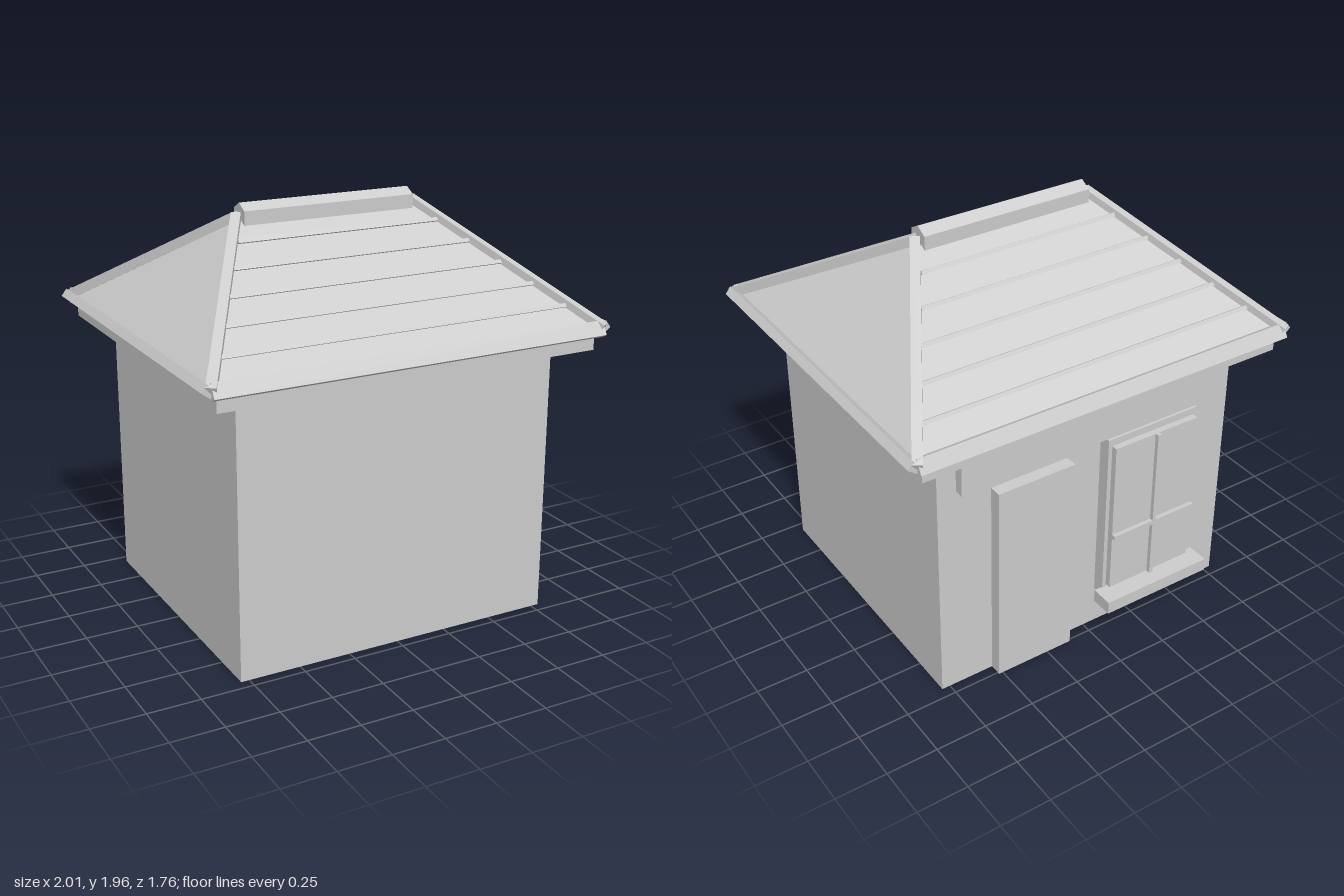
import * as THREE from 'three';

export function createModel() {
  const model = new THREE.Group();
  model.name = 'hut';
  const gray = new THREE.MeshStandardMaterial({ name: 'light gray', color: 0xcccccc });
  gray.flatShading = true;

  function add(name, geometry, parent = model) {
    const mesh = new THREE.Mesh(geometry, gray);
    mesh.name = name;
    parent.add(mesh);
    return mesh;
  }
  // Box given by its minimum and maximum on each axis
  function box(name, x0, x1, y0, y1, z0, z1, parent) {
    const mesh = add(name, new THREE.BoxGeometry(x1 - x0, y1 - y0, z1 - z0), parent);
    mesh.position.set((x0 + x1) / 2, (y0 + y1) / 2, (z0 + z1) / 2);
    return mesh;
  }
  // Long bar along x, tilted about its length
  function bar(name, length, height, depth, y, z, tilt, parent) {
    const mesh = add(name, new THREE.BoxGeometry(length, height, depth), parent);
    mesh.position.set(0, y, z);
    mesh.rotation.x = -tilt;
    return mesh;
  }

  // Walls and eave slab
  box('walls', -0.79, 0.79, 0, 1.3, -0.7, 0.7);
  box('eaveSlab', -0.93, 0.93, 1.3, 1.37, -0.83, 0.83);

  // Hipped roof: a box whose top is drawn up into a ridge
  const roof = new THREE.BoxGeometry(1.9, 1, 1.7, 1, 2, 1);
  const p = roof.attributes.position;
  for (let i = 0; i < p.count; i++) {
    const level = Math.round(p.getY(i) * 2) + 1; // 0 base, 1 eave, 2 ridge
    p.setY(i, [1.37, 1.4, 1.89][level]);
    if (level === 2) {
      p.setX(i, Math.sign(p.getX(i)) * 0.45);
      p.setZ(i, 0);
    }
  }
  roof.computeVertexNormals();
  add('roof', roof);

  // Eave trim and battens on the two long slopes, trim on the two hip ends
  for (let side = 0; side < 4; side++) {
    const slope = new THREE.Group();
    slope.name = side % 2 ? 'hipEnd' : 'longSlope';
    slope.rotation.y = side * Math.PI / 2;
    model.add(slope);
    if (side % 2) {
      bar('eaveTrim', 1.7, 0.042, 0.05, 1.404, 0.97, 0.65, slope);
    } else {
      bar('eaveTrim', 1.92, 0.07, 0.037, 1.4, 0.847, 0.5, slope);
      for (let i = 0; i < 5; i++) {
        const z = 0.147 + i * 0.14;
        bar('batten', 2 * (0.42 + 0.62 * z), 0.018, 0.018, 1.9 - 0.582 * z, z, 0.52, slope);
      }
    }
  }

  // Hip beams from the ridge ends to the four corners
  for (const sx of [-1, 1]) for (const sz of [-1, 1]) {
    const a = new THREE.Vector3(sx * 0.45, 1.895, 0);
    const b = new THREE.Vector3(sx * 0.962, 1.403, sz * 0.855);
    const beam = add('hipBeam', new THREE.BoxGeometry(0.045, 0.045, a.distanceTo(b)));
    beam.position.copy(a).add(b).multiplyScalar(0.5);
    beam.lookAt(b);
  }

  // Ridge cap with a shallow peak
  const cap = new THREE.Shape([[-0.055, 1.86], [0.055, 1.86], [0.055, 1.925], [0, 1.955], [-0.055, 1.925]]
    .map(([x, y]) => new THREE.Vector2(x, y)));
  const capGeometry = new THREE.ExtrudeGeometry(cap, { depth: 0.87, bevelEnabled: false });
  capGeometry.translate(0, 0, -0.435).rotateY(Math.PI / 2);
  add('ridgeCap', capGeometry);

  // Door and sign board on the back wall
  box('door', 0.12, 0.52, 0, 1.03, -0.76, -0.69);
  box('signBoard', -0.71, 0.71, 1.105, 1.3, -0.77, -0.725);

  // Window on the back wall
  const window = new THREE.Group();
  window.name = 'window';
  model.add(window);
  box('windowFrame', -0.56, -0.06, 0.2, 1.085, -0.76, -0.69, window);
  box('windowPane', -0.54, -0.08, 0.26, 1.05, -0.79, -0.76, window);
  box('verticalMuntin', -0.32, -0.3, 0.26, 1.05, -0.81, -0.79, window);
  box('horizontalMuntin', -0.54, -0.08, 0.55, 0.572, -0.81, -0.79, window);
  box('windowSill', -0.6, -0.02, 0.18, 0.245, -0.865, -0.755, window);

  return model;
}
